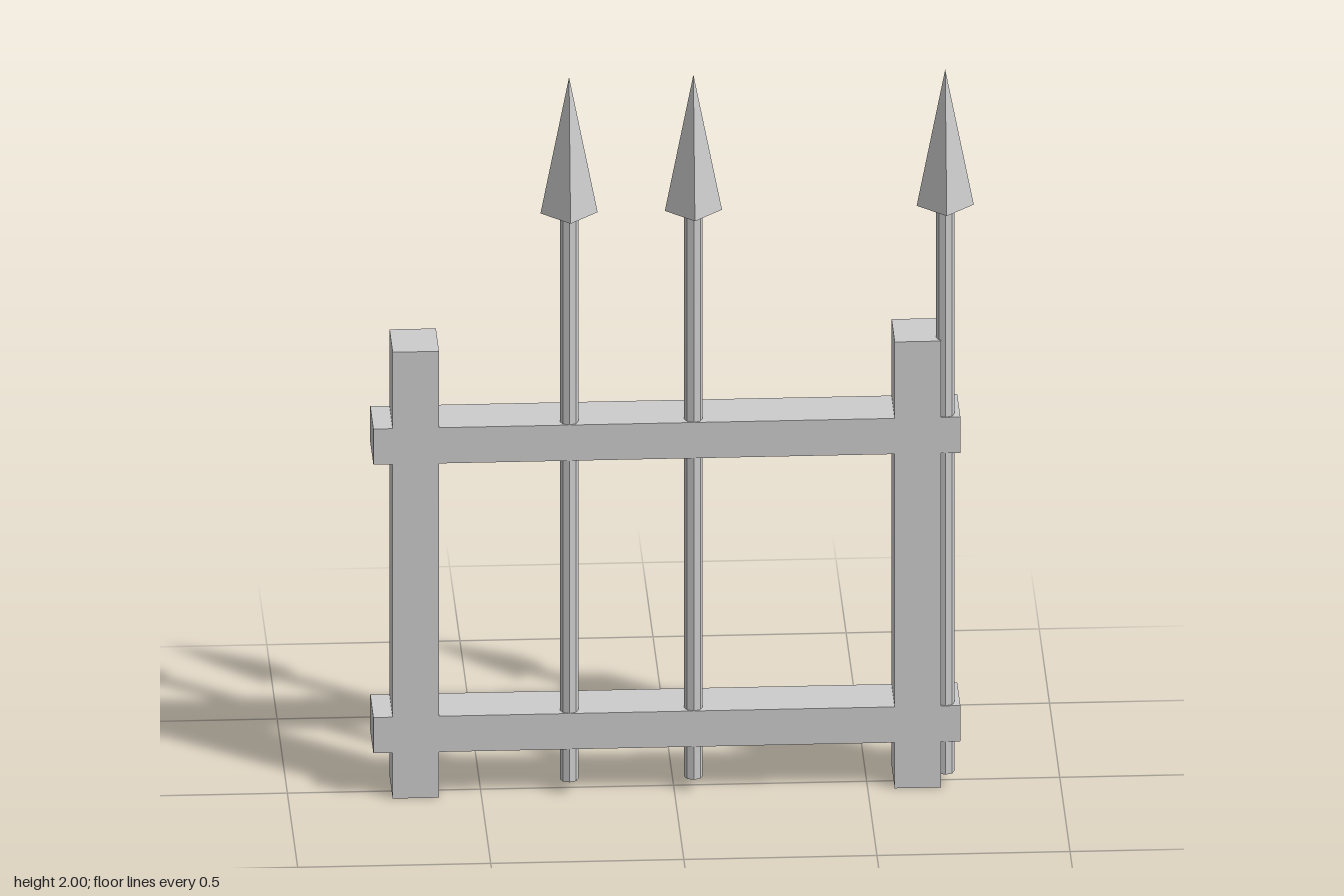
import * as THREE from 'three';

export function createModel() {
  const group = new THREE.Group();
  const iron = new THREE.MeshStandardMaterial({ color: 0xcccccc, flatShading: true });
  iron.name = 'plain grey';

  const add = (name, geometry, x, y, z) => {
    const mesh = new THREE.Mesh(geometry, iron);
    mesh.name = name;
    mesh.position.set(x, y, z);
    group.add(mesh);
  };

  // Posts and rails share the same depth
  const depth = 0.154, frameZ = -0.026;
  add('rightPost', new THREE.BoxGeometry(0.12, 1.25, depth), -0.67, 0.625, frameZ);
  add('leftPost', new THREE.BoxGeometry(0.12, 1.25, depth), 0.63, 0.625, frameZ);
  add('lowerRail', new THREE.BoxGeometry(1.52, 0.1, depth), -0.02, 0.178, frameZ);
  add('upperRail', new THREE.BoxGeometry(1.52, 0.1, depth), -0.02, 0.986, frameZ);

  // Spears: thin faceted rods with four-sided pointed heads
  const rod = new THREE.CylinderGeometry(0.024, 0.024, 1.585, 8);
  const head = new THREE.ConeGeometry(0.074, 0.38, 4);
  for (const x of [-0.272, 0.05, 0.702]) {
    add('spearRod', rod, x, 0.8275, 0.026);
    add('spearHead', head, x, 1.81, 0.026);
  }
  return group;
}
